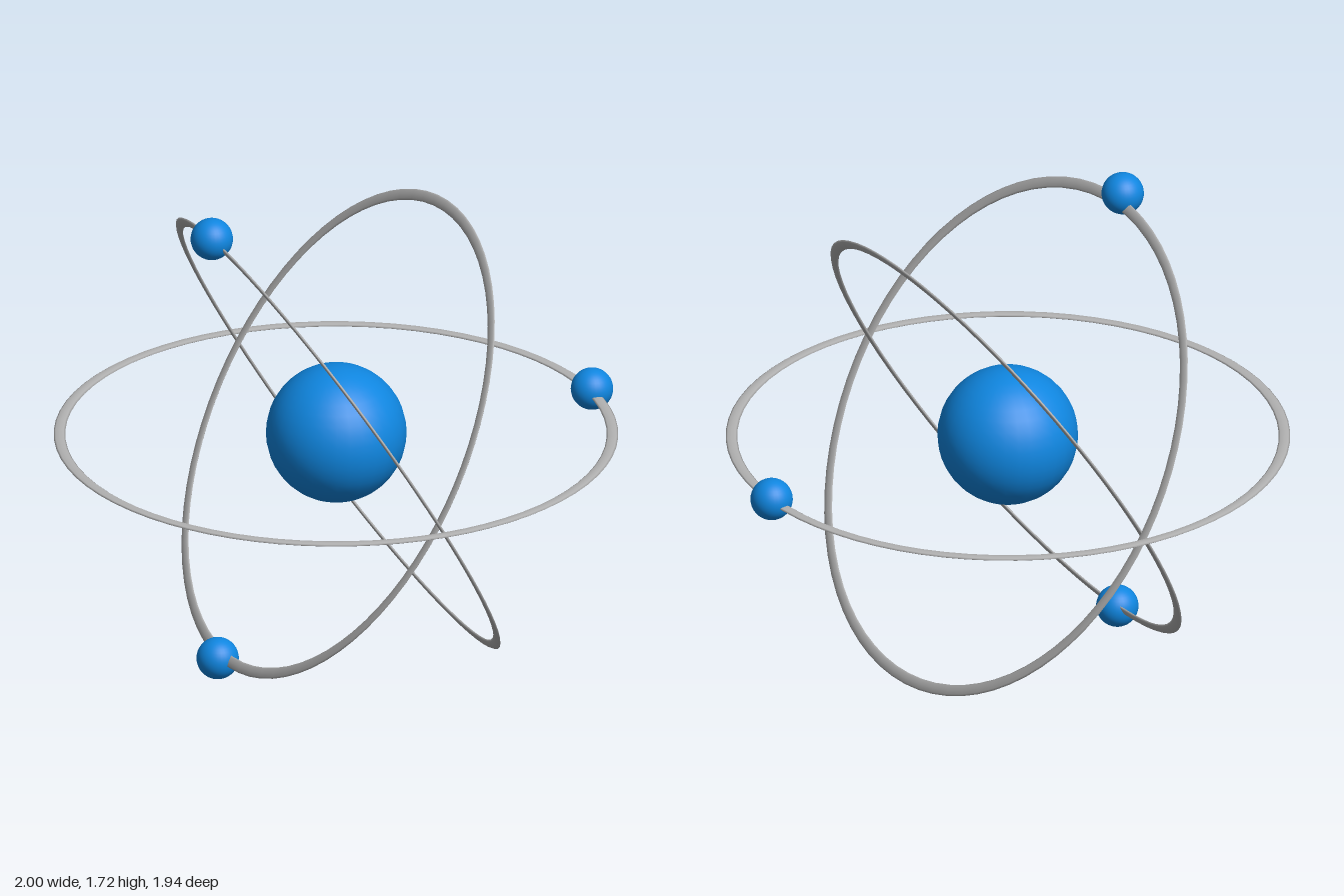
import * as THREE from 'three';

const blue = new THREE.MeshStandardMaterial({ color: 0x0f86e0 });
blue.name = 'blue';
const grey = new THREE.MeshStandardMaterial({ color: 0xb2b2b2 });
grey.name = 'grey';

const TUBE = 0.02; // half the radial width of a ring
const FLAT = 0.28; // rings are squashed along their axis

function ball(name, radius, x, y) {
  const mesh = new THREE.Mesh(new THREE.SphereGeometry(radius, 32, 20), blue);
  mesh.name = name;
  mesh.position.set(x, y, 0);
  return mesh;
}

// Flattened ring containing the z axis, tilted about z
function orbitRing(name, outer, x, y, degrees) {
  const geometry = new THREE.TorusGeometry(outer - TUBE, TUBE, 8, 72);
  geometry.scale(1, 1, FLAT);
  geometry.rotateX(Math.PI / 2);
  const mesh = new THREE.Mesh(geometry, grey);
  mesh.name = name;
  mesh.position.set(x, y, 0);
  mesh.rotation.z = THREE.MathUtils.degToRad(degrees);
  return mesh;
}

export function createModel() {
  const model = new THREE.Group();
  model.name = 'atom';

  model.add(ball('nucleus', 0.242, -0.029, 0.845));

  // Each orbit: ring radius, centre and tilt, then its electron
  const orbits = [
    { name: 'level', outer: 0.97, x: -0.03, y: 0.839, tilt: 0, ex: 0.926, ey: 0.846 },
    { name: 'upper', outer: 0.922, x: -0.022, y: 0.84, tilt: 120, ex: -0.494, ey: 1.648 },
    { name: 'lower', outer: 0.89, x: -0.022, y: 0.838, tilt: 240, ex: -0.472, ey: 0.075 },
  ];
  for (const o of orbits) {
    const group = new THREE.Group();
    group.name = o.name + 'Orbit';
    group.add(orbitRing(o.name + 'Ring', o.outer, o.x, o.y, o.tilt));
    group.add(ball(o.name + 'Electron', 0.073, o.ex, o.ey));
    model.add(group);
  }
  return model;
}
